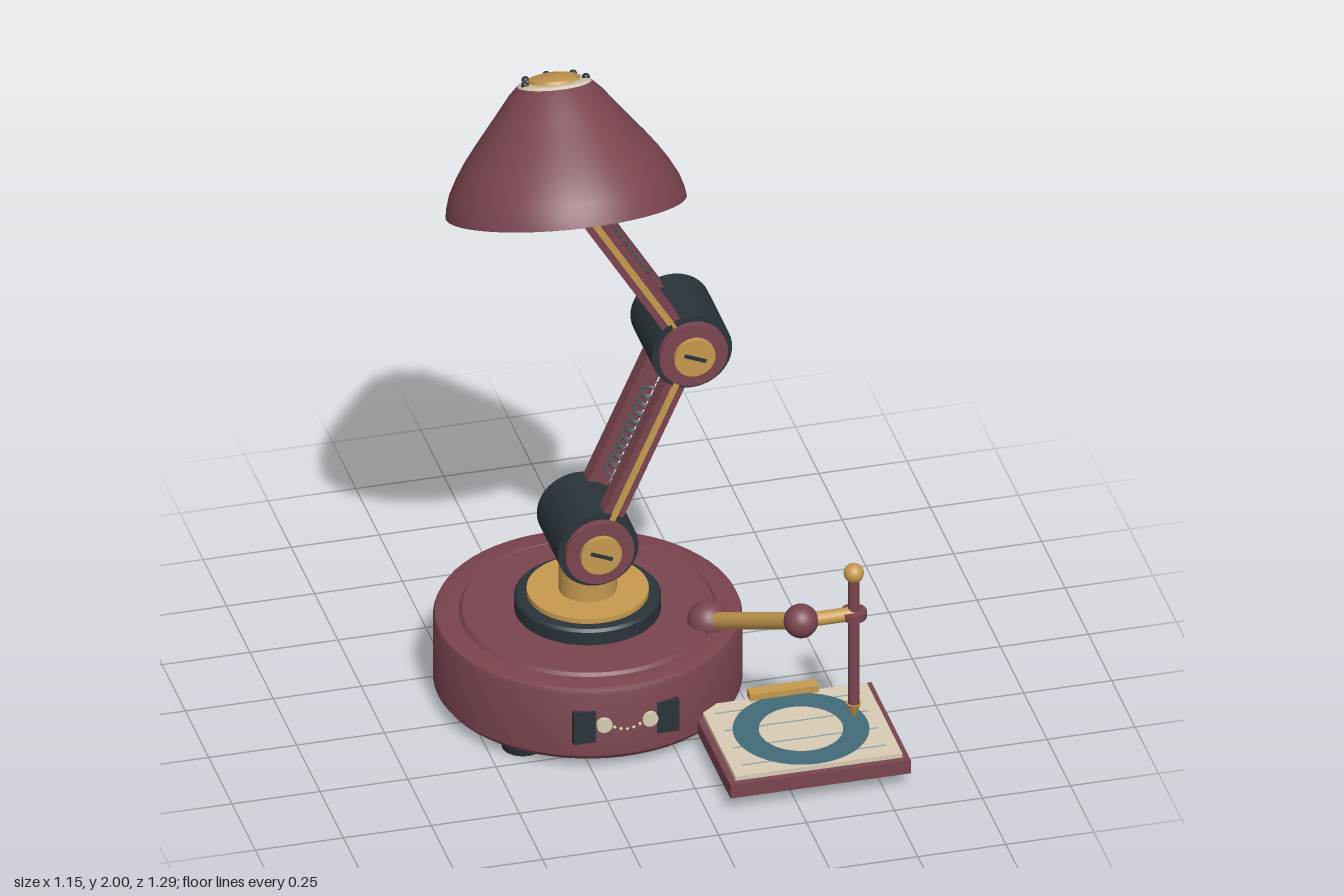
import * as THREE from 'three';
import { toCreasedNormals } from 'three/addons/utils/BufferGeometryUtils.js';

export function createModel() {
  const mat = (name, color) => {
    const m = new THREE.MeshStandardMaterial({ color });
    m.name = name;
    return m;
  };
  const burgundy = mat('burgundy', 0x7a444f);
  const brass = mat('brass', 0xc6994f);
  const black = mat('charcoal', 0x2a3339);
  const cream = mat('cream', 0xd8ccb4);
  const blue = mat('blue', 0x426b7a);
  const steel = mat('steel', 0x50565c);
  const bulbGlass = mat('bulbGlass', 0xd9c48c);
  const pale = mat('paleBlue', 0x8fa3ab);

  const V = (x, y, z) => new THREE.Vector3(x, y, z);
  const root = new THREE.Group();
  const add = (parent, name, geo, m, x = 0, y = 0, z = 0) => {
    const mesh = new THREE.Mesh(geo, m);
    mesh.name = name;
    mesh.position.set(x, y, z);
    parent.add(mesh);
    return mesh;
  };
  const group = (name, x = 0, y = 0, z = 0) => {
    const g = new THREE.Group();
    g.name = name;
    g.position.set(x, y, z);
    root.add(g);
    return g;
  };
  const cyl = (r, h, rb = r, n = 40) => new THREE.CylinderGeometry(r, rb, h, n);
  const cylZ = (r, h, n = 40) => cyl(r, h, r, n).rotateX(Math.PI / 2);
  const box = (w, h, d) => new THREE.BoxGeometry(w, h, d);
  const ball = (r) => new THREE.SphereGeometry(r, 28, 18);
  const lathe = (pts, n = 64) =>
    toCreasedNormals(new THREE.LatheGeometry(pts.map((p) => new THREE.Vector2(...p)), n), 0.5);
  const rod = (parent, name, a, b, r, m) => {
    const d = b.clone().sub(a);
    const mesh = add(parent, name, cyl(r, d.length(), r, 20), m);
    mesh.position.copy(a).addScaledVector(d, 0.5);
    mesh.quaternion.setFromUnitVectors(V(0, 1, 0), d.normalize());
  };

  const CX = -0.153, CZ = -0.075;

  // Round base with collar and column
  const base = group('base', CX, 0, CZ);
  add(base, 'baseBody', lathe([[0.4, 0.03], [0.415, 0.034], [0.425, 0.048], [0.425, 0.245],
    [0.42, 0.257], [0.41, 0.262], [0.357, 0.262], [0.353, 0.256], [0.349, 0.262], [0.345, 0.268], [0, 0.268]]), burgundy);
  add(base, 'basePlate', cyl(0.402, 0.02, 0.402, 64), black, 0, 0.036);
  for (const sx of [-1, 1]) for (const sz of [-1, 1]) {
    add(base, 'foot', cyl(0.066, 0.03, 0.058, 28), black, sx * 0.247, 0.015, sz * 0.235);
    add(base, 'footScrew', cyl(0.022, 0.006, 0.022, 16), steel, sx * 0.247, 0.002 + 0.001, sz * 0.235);
  }
  add(base, 'collar', lathe([[0.202, 0.265], [0.202, 0.308], [0.195, 0.316], [0, 0.316]]), black);
  add(base, 'collarRing', cyl(0.168, 0.016, 0.168, 48), brass, 0, 0.323);
  add(base, 'column', cyl(0.08, 0.16), brass, 0, 0.39);

  // Front control panel with knobs
  add(root, 'controlPanel', box(0.3, 0.1, 0.06), black, CX, 0.143, 0.311);
  for (const s of [-1, 1])
    add(root, 'knob', cylZ(0.022, 0.03, 24), cream, CX + s * 0.065, 0.15, 0.341);
  for (let i = -2; i <= 2; i++)
    add(root, 'dialDot', new THREE.SphereGeometry(0.005, 10, 8), cream, CX + i * 0.018, 0.128 + 0.0025 * i * i, 0.349);

  // Joints: drum, side discs, brass caps with slots
  const low = V(CX, 0.52, CZ), mid = V(0.113, 1.118, CZ), top = V(-0.243, 1.705, CZ);
  for (const p of [low, mid]) {
    const j = group('joint', p.x, p.y, p.z);
    add(j, 'jointDrum', cylZ(0.114, 0.23, 48), black);
    for (const s of [-1, 1]) {
      add(j, 'jointDisc', cylZ(0.097, 0.025), burgundy, 0, 0, s * 0.1235);
      add(j, 'jointCap', cylZ(0.058, 0.02), brass, 0, 0, s * 0.1405);
      add(j, 'capSlot', box(0.066, 0.011, 0.004), black, 0, 0, s * 0.151).rotation.z = -0.4;
    }
  }

  // Arms: paired rails with brass inlays and a tension spring
  const makeArm = (name, a, b) => {
    const len = a.distanceTo(b);
    const g = group(name, a.x, a.y, a.z);
    g.rotation.z = -Math.atan2(b.x - a.x, b.y - a.y);
    for (const s of [-1, 1]) {
      add(g, 'rail', box(0.058, len, 0.048), burgundy, 0, len / 2, s * 0.086);
      add(g, 'railInlay', box(0.018, len, 0.006), brass, 0, len / 2, s * 0.112);
    }
    const pts = [], turns = 10, y0 = len * 0.27, y1 = len * 0.7;
    pts.push(V(0, y0 - 0.03, 0));
    for (let i = 0; i <= turns * 12; i++) {
      const t = (i / 12) * Math.PI * 2;
      pts.push(V(0.028 * Math.cos(t), y0 + ((y1 - y0) * i) / (turns * 12), 0.028 * Math.sin(t)));
    }
    pts.push(V(0, y1 + 0.03, 0));
    add(g, 'spring', new THREE.TubeGeometry(new THREE.CatmullRomCurve3(pts), 260, 0.0048, 6), steel);
  };
  makeArm('lowerArm', low, mid);
  makeArm('upperArm', mid, top);

  // Cable behind the arms and the tail cable
  const along = (a, b, t, z) => a.clone().lerp(b, t).setZ(z);
  const cable = new THREE.CatmullRomCurve3([
    along(low, mid, 0.06, -0.195), along(low, mid, 0.25, -0.203), along(low, mid, 0.75, -0.203),
    along(low, mid, 0.97, -0.197), along(mid, top, 0.2, -0.203), along(mid, top, 0.7, -0.203), along(mid, top, 0.96, -0.16)]);
  add(root, 'armCable', new THREE.TubeGeometry(cable, 80, 0.014, 10), black);
  const tail = [V(-0.157, 0.125, -0.49), V(-0.06, 0.065, -0.55), V(0.05, 0.05, -0.573), V(0.15, 0.045, -0.628)];
  for (let i = 0; i < 3; i++) {
    rod(root, 'tailCable', tail[i], tail[i + 1], 0.018, black);
    if (i) add(root, 'tailBend', ball(0.018), black, ...tail[i].toArray());
  }

  // Tilted lamp shade
  const shade = group('shade', -0.243, 1.64, 0.034);
  shade.rotation.x = -0.374;
  add(shade, 'shadeShell', lathe([[0.333, 0], [0.329, 0.025], [0.318, 0.06], [0.297, 0.1], [0.27, 0.142],
    [0.237, 0.186], [0.2, 0.232], [0.163, 0.278], [0.13, 0.32], [0.103, 0.347]], 72), burgundy);
  add(shade, 'ventRing', lathe([[0.103, 0.347], [0.095, 0.354], [0, 0.36]], 48), cream);
  add(shade, 'topCap', lathe([[0.073, 0.352], [0.07, 0.364], [0.045, 0.371], [0, 0.374]], 40), brass);
  for (let i = -2; i <= 2; i++) {
    const a = i * 0.88;
    add(shade, 'ventHole', ball(0.011), black, 0.088 * Math.sin(a), 0.356, -0.088 * Math.cos(a));
  }
  add(shade, 'rimLiner', lathe([[0.2, 0.004], [0.325, -0.002], [0.333, 0]], 72), brass);
  add(shade, 'reflector', lathe([[0, 0.15], [0.08, 0.135], [0.15, 0.085], [0.2, 0.004]], 56), cream);
  add(shade, 'bulb', ball(0.075), bulbGlass, 0, 0.045, 0);
  add(root, 'lampSocket', ball(0.09), burgundy, -0.243, 1.69, -0.05);

  // Drawing tablet with ring, ruled lines and clip
  const tablet = group('tablet', 0.318, 0, 0.434);
  add(tablet, 'tray', box(0.513, 0.042, 0.422), burgundy, 0, 0.066);
  add(tablet, 'sheet', box(0.475, 0.014, 0.382), cream, 0, 0.094);
  add(tablet, 'blueRing', new THREE.RingGeometry(0.116, 0.188, 56).rotateX(-Math.PI / 2), blue, 0, 0.1035);
  for (const z of [-0.139, -0.046, 0.046, 0.139])
    add(tablet, 'ruledLine', box(0.41, 0.001, 0.005), pale, 0, 0.1018, z);
  add(tablet, 'clip', box(0.195, 0.022, 0.036), brass, 0, 0.111, -0.194);

  // Stylus arm
  const stylus = group('stylusArm');
  const knuckle = V(0.148, 0.268, 0.08), elbow = V(0.318, 0.452, 0.434), grip = V(0.468, 0.452, 0.434);
  add(stylus, 'knuckle', ball(0.058), burgundy, ...knuckle.toArray());
  rod(stylus, 'stylusBoom', knuckle, elbow, 0.024, brass);
  add(stylus, 'elbow', ball(0.048), burgundy, ...elbow.toArray());
  rod(stylus, 'stylusLink', elbow, grip, 0.02, brass);
  add(stylus, 'stylusCollar', cyl(0.036, 0.022, 0.036, 24), burgundy, ...grip.toArray());
  add(stylus, 'stylusShaft', cyl(0.016, 0.41, 0.016, 20), burgundy, grip.x, 0.365, grip.z);
  add(stylus, 'stylusKnob', ball(0.028), brass, grip.x, 0.583, grip.z);
  add(stylus, 'stylusTip', cyl(0.021, 0.046, 0.002, 20), brass, grip.x, 0.141, grip.z);

  return root;
}
